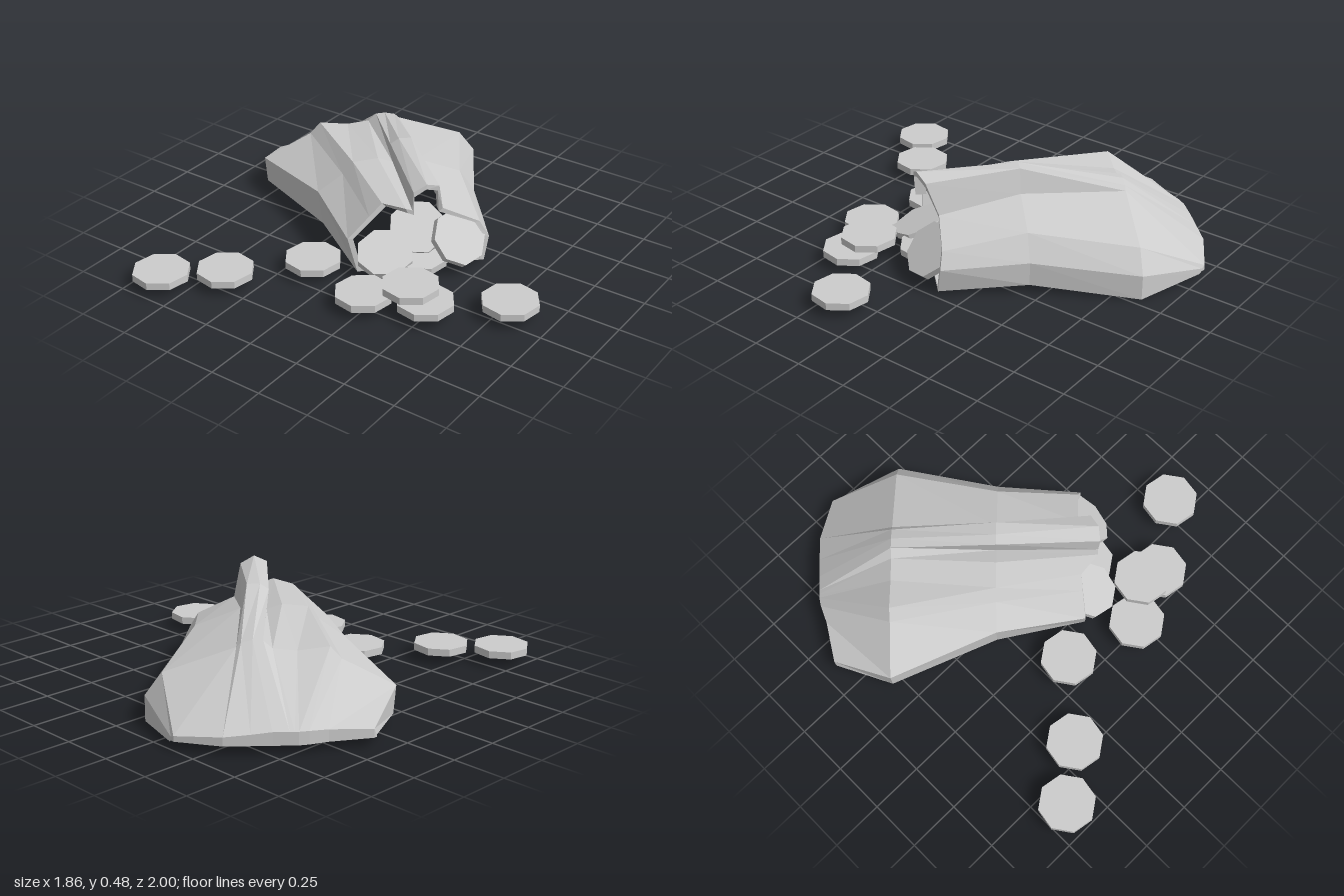
import * as THREE from 'three';

const grey = new THREE.MeshStandardMaterial({ color: 0xcccccc, flatShading: true, side: THREE.DoubleSide });
grey.name = 'lightGrey';

// Cross-sections of the sack, left hem over the top to right hem: [across, height, along]
const at = (along, pts) => pts.map(([s, y]) => [s, y, along]);
const backEnd = [
  [-0.4, 0.05, -0.915], [-0.389, 0.08, -0.926], [-0.2, 0.095, -0.97], [-0.12, 0.1, -1.0],
  [-0.078, 0.1, -1.01], [-0.06, 0.1, -1.011], [-0.04, 0.1, -1.012], [0.03, 0.1, -1.015],
  [0.12, 0.09, -1.02], [0.233, 0.08, -1.025], [0.438, 0.065, -0.976], [0.45, 0.055, -0.96],
  [0.455, 0.03, -0.95],
];
const belly = at(-0.65, [
  [-0.485, 0.04], [-0.495, 0.17], [-0.26, 0.29], [-0.21, 0.345], [-0.07, 0.325], [0.035, 0.335],
  [0.075, 0.37], [0.12, 0.372], [0.17, 0.36], [0.19, 0.34], [0.51, 0.225], [0.587, 0.12],
  [0.587, 0],
]);
const middle = at(-0.16, [
  [-0.27, 0.05], [-0.29, 0.225], [-0.17, 0.31], [-0.12, 0.37], [0, 0.38], [0.07, 0.355],
  [0.06, 0.45], [0.1, 0.477], [0.16, 0.475], [0.19, 0.36], [0.4, 0.275], [0.474, 0.16],
  [0.47, 0.045],
]);
const mouth = [
  [-0.17, 0.025, 0.26], [-0.212, 0.2, 0.255], [-0.11, 0.3, 0.24], [-0.05, 0.36, 0.233],
  [0.045, 0.365, 0.31], [0.075, 0.355, 0.312], [0.078, 0.45, 0.318], [0.14, 0.48, 0.31],
  [0.205, 0.45, 0.276], [0.235, 0.3, 0.22], [0.41, 0.215, 0.226], [0.453, 0.14, 0.24],
  [0.43, 0.02, 0.25],
];

// The hem drops from the back edge; the rim turns in around the mouth
const hem = backEnd.map(([s, y, t]) => [s, Math.min(y, 0.04), t]);
const inset = (ring, shift) => ring.map(([s, y, t]) => {
  const ds = 0.12 - s, dy = 0.19 - y, k = 0.025 / Math.hypot(ds, dy);
  return [s + ds * k, y + dy * k, t + shift];
});

// Skin through the sections; an open skin has no underside
function loft(rings, closed) {
  const H = Math.SQRT1_2, pos = [], idx = [], n = rings[0].length;
  rings.flat().forEach(([s, y, t]) => pos.push(H * (t + s), y, H * (t - s)));
  for (let k = 0; k < rings.length - 1; k++) {
    for (let i = 0; i < (closed ? n : n - 1); i++) {
      const j = (i + 1) % n, a = k * n + i, b = a + n, c = k * n + j, d = c + n;
      idx.push(a, b, c, c, b, d);
    }
  }
  const g = new THREE.BufferGeometry();
  g.setAttribute('position', new THREE.Float32BufferAttribute(pos, 3));
  g.setIndex(idx);
  const flat = g.toNonIndexed();
  flat.computeVertexNormals();
  return flat;
}

export function createModel() {
  const model = new THREE.Group();
  model.name = 'spilledCoinSack';
  const addMesh = (name, geometry) => {
    const mesh = new THREE.Mesh(geometry, grey);
    mesh.name = name;
    model.add(mesh);
    return mesh;
  };

  // Folded cloth sack lying on its side, hollow and open below
  addMesh('sack', loft([hem, backEnd, belly, middle, mouth], false));
  addMesh('mouthRim', loft([mouth, inset(mouth, 0), inset(mouth, -0.05)], true));

  // Eight-sided coins
  const coinShape = new THREE.CylinderGeometry(0.135, 0.135, 0.035, 8).rotateY(0.22);
  const up = new THREE.Vector3(0, 1, 0);
  const addCoin = (name, x, y, z, facing = [0, 1, 0]) => {
    const coin = addMesh(name, coinShape);
    coin.position.set(x, y, z);
    coin.quaternion.setFromUnitVectors(up, new THREE.Vector3(...facing).normalize());
  };

  // Coins lying on the ground, one resting on two others
  [[-0.13, 0.383], [0.228, 0.485], [0.49, 0.383], [0.797, 0.168], [-0.4, 0.688], [-0.63, 0.865]]
    .forEach(([x, z]) => addCoin('groundCoin', x, 0.063, z));
  addCoin('stackedCoin', 0.394, 0.098, 0.356);

  // Coins tilted in the mouth of the sack
  addCoin('mouthCoin', 0.4, 0.16, -0.025, [0.7, 0.65, 0.25]);
  addCoin('mouthCoin', 0.165, 0.115, 0.225, [0.2, 0.9, 0.3]);
  addCoin('mouthCoin', 0.21, 0.175, 0.03, [0.4, 0.75, 0.45]);
  addCoin('mouthCoin', 0.27, 0.085, 0.1, [0.1, 1, 0.05]);
  return model;
}
